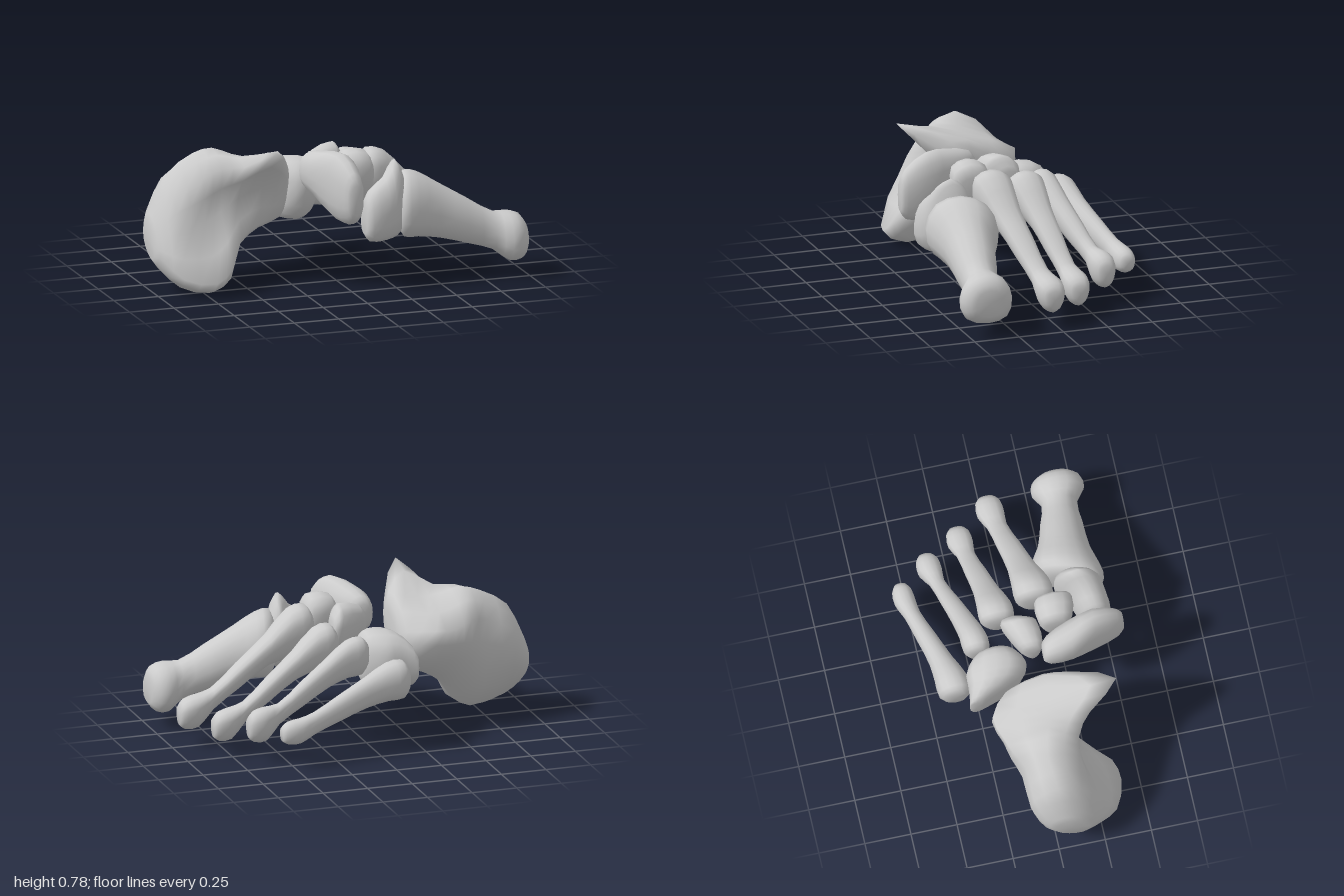
import * as THREE from 'three';

const V = (x, y, z) => new THREE.Vector3(x, y, z);
const SIDES = 16;
const STEPS = 2;
const REACH = 0.035;

// Shrunken copy of an end loop, pushed away from its neighbour to round the end
function endCap(loop, neighbour) {
  const centre = pts => pts.reduce((sum, p) => sum.add(p), V(0, 0, 0)).divideScalar(pts.length);
  const c = centre(loop);
  const push = c.clone().sub(centre(neighbour)).setLength(REACH);
  return loop.map(p => p.clone().lerp(c, 0.4).add(push));
}

// Smooth closed skin through a row of cross-sections (each a loop of points)
function loft(sections) {
  const loops = [endCap(sections[0], sections[1]), ...sections, endCap(sections.at(-1), sections.at(-2))];
  const rings = loops.map(l => new THREE.CatmullRomCurve3(l, true).getPoints(SIDES).slice(0, SIDES));
  const rows = (rings.length - 1) * STEPS;
  const lines = rings[0].map((_, j) => new THREE.CatmullRomCurve3(rings.map(r => r[j])).getPoints(rows));
  const pos = [], index = [];
  for (let i = 0; i <= rows; i++) lines.forEach(l => pos.push(...l[i].toArray()));
  for (const i of [0, rows]) {
    const c = V(0, 0, 0);
    lines.forEach(l => c.addScaledVector(l[i], 1 / SIDES));
    pos.push(...c.toArray());
  }
  const first = (rows + 1) * SIDES, last = first + 1;
  for (let j = 0; j < SIDES; j++) {
    const k = (j + 1) % SIDES;
    for (let i = 0; i < rows; i++) {
      const a = i * SIDES + j, b = i * SIDES + k;
      index.push(a, b, a + SIDES, b, b + SIDES, a + SIDES);
    }
    index.push(first, k, j, last, rows * SIDES + j, rows * SIDES + k);
  }
  const g = new THREE.BufferGeometry();
  g.setAttribute('position', new THREE.Float32BufferAttribute(pos, 3));
  g.setIndex(index);
  g.computeVertexNormals();
  return g;
}

// Eight points of a rounded outline across x; wedge narrows the lower side,
// lean slants the outline along x
function oval(c, ry, rz, wedge, lean = 0) {
  const soft = v => Math.sign(v) * Math.abs(v) ** 0.85;
  return Array.from({ length: 8 }, (_, i) => {
    const up = soft(Math.cos(i * Math.PI / 4));
    const side = soft(Math.sin(i * Math.PI / 4)) * rz * (1 + wedge * up);
    return V(c.x + lean * side, c.y + ry * up, c.z + side);
  });
}

// Long bone: wide base, thin shaft and knobbly head, each sized [halfHeight, halfWidth]
function longBone({ from, to, base, shaft, head, wedge, lean = 0 }) {
  const size = (pair, k) => pair.map(v => v * k);
  const stations = [
    [0.06, 0, size(base, 1)], [0.17, 0.04, size(base, 0.98)],
    [0.33, 0.23, size(shaft, 1.35)], [0.55, 0.54, size(shaft, 1.12)], [0.75, 0.83, size(shaft, 0.95)],
    [0.86, 0.97, size(head, 0.98)], [0.95, 1, size(head, 0.9)],
  ];
  return stations.map(([t, drop, [ry, rz]]) => {
    const c = from.clone().lerp(to, drop);
    c.x = THREE.MathUtils.lerp(from.x, to.x, t);
    return oval(c, ry, rz, wedge, lean * (1 - t));
  });
}

// Heel bone outlines: x, then [y, z] from the top round the inner side
const heel = [
  [-.96, [.45, .03], [.41, .12], [.3, .2], [.19, .24], [.13, .17], [.16, .05], [.27, -.06], [.4, -.06]],
  [-.88, [.61, .02], [.52, .15], [.34, .25], [.11, .34], [.05, .25], [.1, .06], [.3, -.11], [.5, -.11]],
  [-.72, [.71, 0], [.61, .17], [.38, .21], [.09, .4], [.01, .27], [.07, .04], [.32, -.12], [.58, -.12]],
  [-.62, [.735, .02], [.66, .19], [.42, .17], [.16, .37], [.06, .27], [.13, .03], [.36, -.14], [.6, -.17]],
  [-.52, [.7, .05], [.68, .27], [.48, .16], [.28, .22], [.21, .13], [.22, 0], [.4, -.16], [.57, -.2]],
  [-.4, [.68, .08], [.79, .44], [.54, .2], [.34, .18], [.29, .08], [.3, -.06], [.42, -.2], [.58, -.23]],
  [-.27, [.7, .08], [.66, .24], [.5, .2], [.37, .14], [.33, .05], [.36, -.05], [.44, -.13], [.56, -.13]],
];

// Blocky middle bones: [x, y, z, halfHeight, halfWidth] along x
const blocks = {
  cuboid: { wedge: .1, rows: [
    [-.25, .42, -.26, .11, .06], [-.18, .43, -.17, .16, .14], [-.1, .43, -.145, .17, .165], [-.03, .44, -.14, .15, .12]] },
  innerCuneiform: { wedge: -.15, rows: [
    [.12, .4, .44, .14, .085], [.21, .43, .42, .175, .1], [.28, .475, .38, .21, .12], [.32, .46, .36, .16, .1]] },
  middleCuneiform: { wedge: .4, rows: [[.055, .57, .21, .14, .085], [.165, .56, .22, .15, .095]] },
  outerCuneiform: { wedge: .45, rows: [[-.06, .56, .05, .12, .06], [.06, .53, .02, .18, .085], [.09, .54, 0, .14, .075]] },
};

// Crescent bone outlines along z: [z, y, x, halfHeight, halfWidth]
const navicular = [[.14, .6, -.1, .1, .07], [.26, .6, -.07, .13, .095], [.4, .56, -.02, .185, .085], [.53, .53, 0, .14, .055]];

// Long bones, from the inner side outwards
const metatarsals = [
  { from: V(.3, .43, .345), to: V(1, .215, .41), base: [.175, .18], shaft: [.11, .1], head: [.135, .145], wedge: -.1, lean: -.3 },
  { from: V(.17, .55, .13), to: V(.96, .18, .03), base: [.14, .1], shaft: [.062, .055], head: [.092, .072], wedge: .25 },
  { from: V(.11, .52, -.085), to: V(.83, .155, -.16), base: [.12, .09], shaft: [.06, .05], head: [.088, .067], wedge: .25 },
  { from: V(-.02, .49, -.225), to: V(.7, .2, -.355), base: [.105, .07], shaft: [.06, .044], head: [.095, .065], wedge: .15 },
  { from: V(-.2, .39, -.38), to: V(.57, .2, -.52), base: [.105, .088], shaft: [.062, .048], head: [.068, .058], wedge: 0 },
];

export function createModel() {
  const foot = new THREE.Group();
  foot.name = 'footBones';
  const material = new THREE.MeshStandardMaterial({ color: 0xcccccc });
  const add = (name, sections) => {
    const mesh = new THREE.Mesh(loft(sections), material);
    mesh.name = name;
    foot.add(mesh);
    return mesh;
  };

  add('heelBone', heel.map(([x, ...pts]) => pts.map(([y, z]) => V(x, y, z))));

  for (const [name, { rows, wedge }] of Object.entries(blocks)) {
    add(name, rows.map(([x, y, z, ry, rz]) => oval(V(x, y, z), ry, rz, wedge)));
  }

  // Lofted along x, then turned a quarter so it runs along z
  const crescent = add('navicular', navicular.map(([z, y, x, ry, rx]) => oval(V(-z, y, x), ry, rx, 0)).reverse());
  crescent.rotation.y = Math.PI / 2;

  metatarsals.forEach((bone, i) => add(`metatarsal${i + 1}`, longBone(bone)));
  return foot;
}
